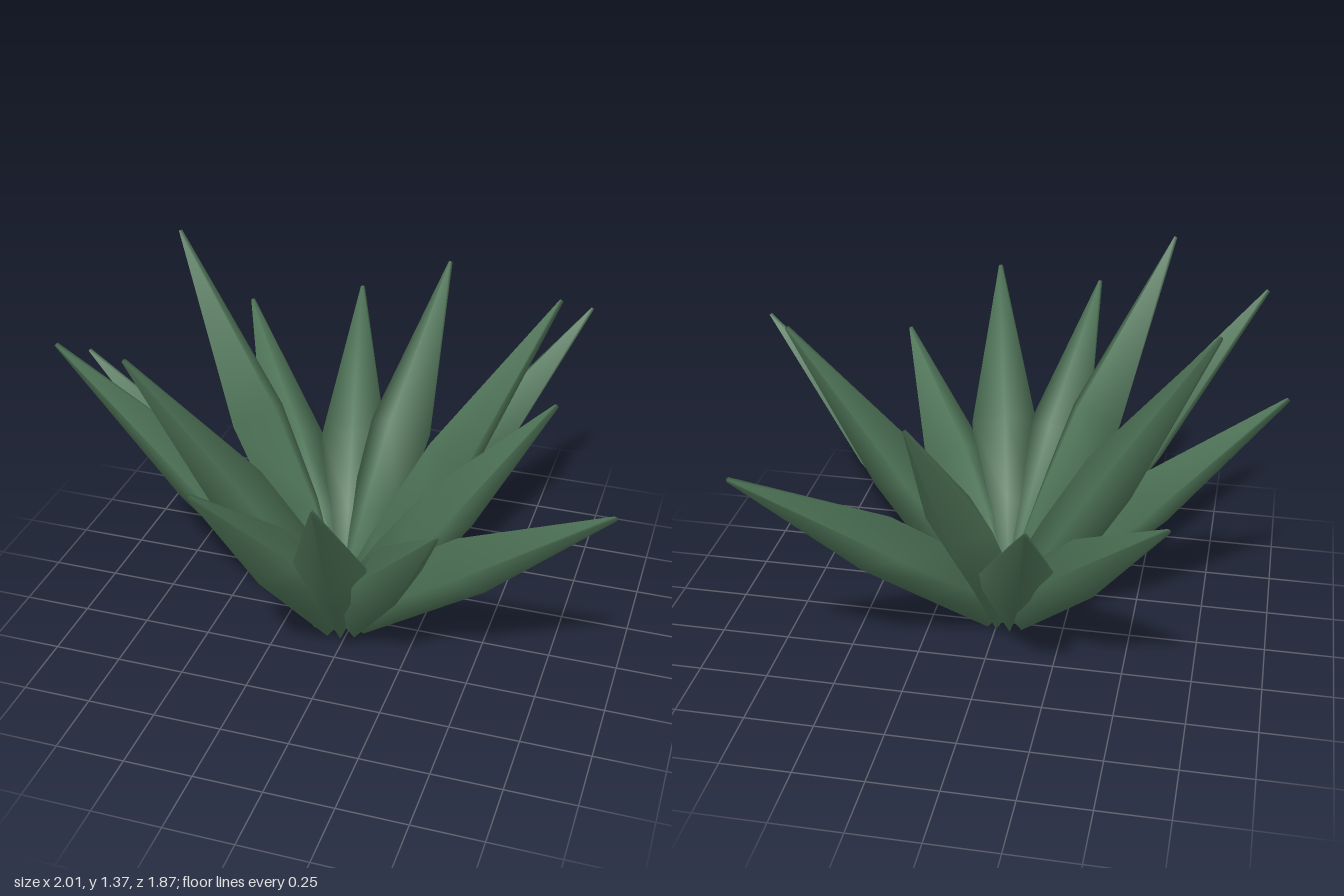
import * as THREE from 'three';

// Leaf tips (x, y, z), going round the rosette
const TIPS = [
  [-0.77, 1.365, -0.32], [-1.0, 1.01, 0.03], [-0.9, 1.24, 0.44], [-0.545, 1.34, 0.66],
  [-0.24, 1.05, 0.91], [0.165, 1.08, 0.93], [0.48, 0.89, 0.68], [1.0, 0.97, 0.52],
  [0.715, 1.06, 0.03], [0.65, 1.285, -0.31], [0.68, 1.01, -0.87], [0.14, 1.175, -0.77],
  [-0.26, 0.95, -0.93], [-0.67, 0.91, -0.76],
];
const CENTRE = new THREE.Vector3(-0.033, 0.085, 0.038);
const ROOT_RADIUS = 0.037;

// Leaf sections: position along the leaf, half width, ridge height, keel depth
const SECTIONS = [
  [0, 0.052, 0.085, 0.105],
  [0.26, 0.108, 0.108, 0.1],
  [0.51, 0.125, 0.112, 0.095],
  [1, 0.008, 0.008, 0.008],
];

// Thick spear-shaped leaf with a four-cornered section and soft normals
function leafGeometry(tip) {
  const out = new THREE.Vector3(tip.x - CENTRE.x, 0, tip.z - CENTRE.z).normalize();
  const root = CENTRE.clone().addScaledVector(out, ROOT_RADIUS);
  const along = tip.clone().sub(root).normalize();
  const side = new THREE.Vector3().crossVectors(along, new THREE.Vector3(0, 1, 0)).normalize();
  const up = new THREE.Vector3().crossVectors(side, along);

  const positions = [];
  const index = [];
  for (const [t, w, ridge, keel] of SECTIONS) {
    const c = root.clone().lerp(tip, t);
    for (const [a, b] of [[w, 0], [0, ridge], [-w, 0], [0, -keel]]) {
      const p = c.clone().addScaledVector(side, a).addScaledVector(up, b);
      positions.push(p.x, Math.max(p.y, 0), p.z);
    }
  }
  // Side faces between neighbouring sections
  for (let r = 0; r < SECTIONS.length - 1; r++) {
    for (let k = 0; k < 4; k++) {
      const a = r * 4 + k, b = r * 4 + ((k + 1) % 4);
      index.push(a, b, b + 4, a, b + 4, a + 4);
    }
  }
  const geometry = new THREE.BufferGeometry();
  geometry.setAttribute('position', new THREE.Float32BufferAttribute(positions, 3));
  geometry.setIndex(index);
  geometry.computeVertexNormals();

  // Root and tip caps, added after the normals so the sides stay evenly smooth
  const e = (SECTIONS.length - 1) * 4;
  geometry.setIndex([...index, 0, 2, 1, 0, 3, 2, e, e + 1, e + 2, e, e + 2, e + 3]);
  return geometry;
}

export function createModel() {
  const plant = new THREE.Group();
  plant.name = 'spikyPlant';
  const leafGreen = new THREE.MeshStandardMaterial({ color: 0x4f7558, side: THREE.DoubleSide });
  leafGreen.name = 'leafGreen';

  TIPS.forEach((t, i) => {
    const leaf = new THREE.Mesh(leafGeometry(new THREE.Vector3(...t)), leafGreen);
    leaf.name = `leaf${i + 1}`;
    plant.add(leaf);
  });
  return plant;
}
